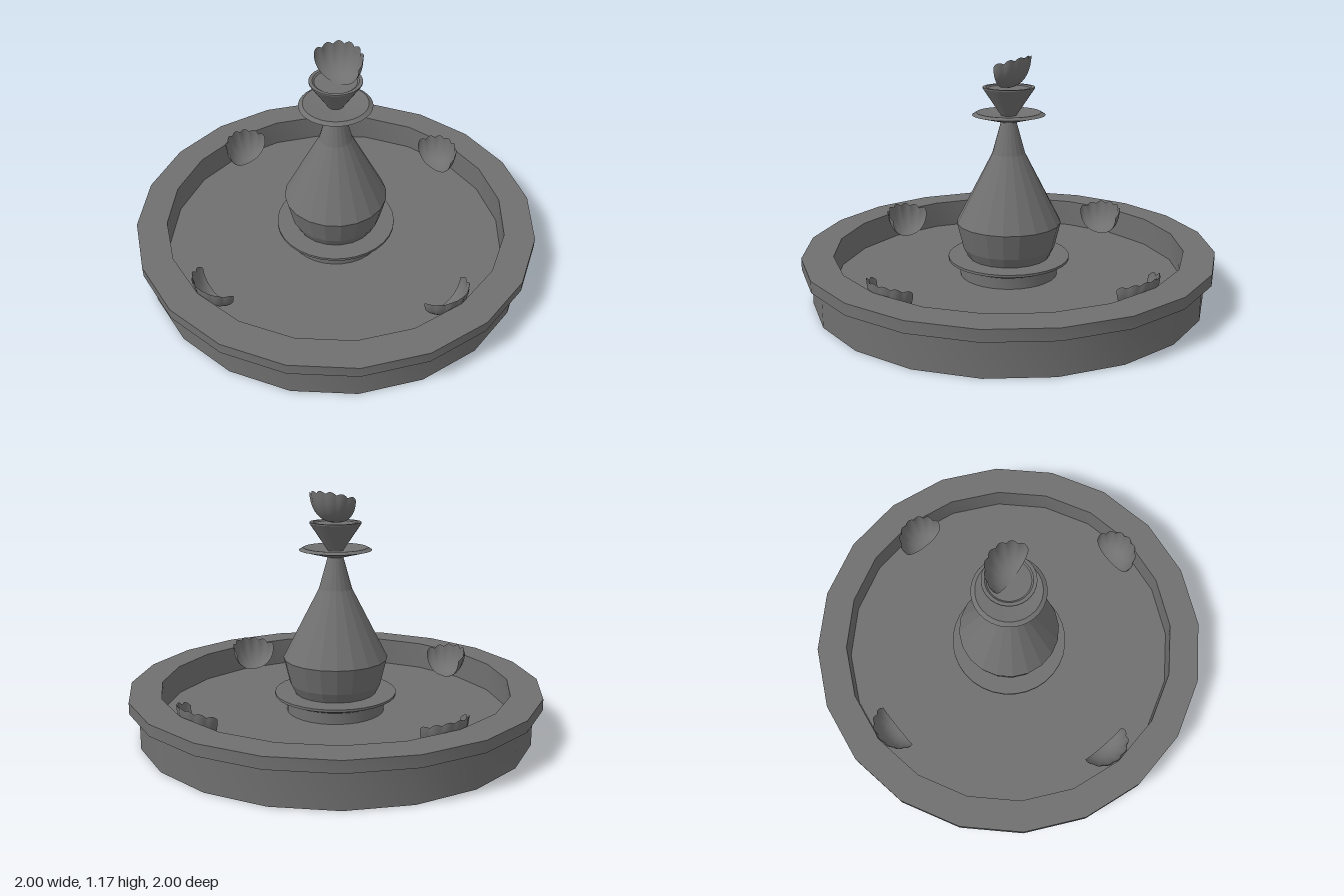
import * as THREE from 'three';
import { toCreasedNormals } from 'three/addons/utils/BufferGeometryUtils.js';

const stone = new THREE.MeshStandardMaterial({ color: 0x707070 });
const facetedStone = new THREE.MeshStandardMaterial({ color: 0x707070, flatShading: true });
const shellStone = new THREE.MeshStandardMaterial({ color: 0x707070, side: THREE.DoubleSide });

// Turned part: profile runs from the bottom axis up the outside
function turned(name, profile, sides, material = stone) {
  const points = profile.map(([r, y]) => new THREE.Vector2(r, y));
  const geometry = toCreasedNormals(new THREE.LatheGeometry(points, sides), 0.35);
  const mesh = new THREE.Mesh(geometry, material);
  mesh.name = name;
  return mesh;
}

// Scallop shell: ribbed half bowl, hinge at the origin, hollow side facing +z
function shellGeometry() {
  const ribs = 7, across = ribs * 6, up = 10;
  const positions = [], index = [];
  for (let j = 0; j <= up; j++) {
    const s = j / up, a = s * Math.PI / 2;
    for (let i = 0; i <= across; i++) {
      const u = i / across;
      const theta = (u - 0.5) * Math.PI;
      const rib = Math.abs(Math.sin(u * ribs * Math.PI));
      const r = 0.12 * Math.pow(Math.sin(a), 0.85) * (1 + 0.06 * s * (rib - 0.4));
      const height = 0.108 + 0.036 * Math.cos(theta) + 0.012 * rib * s;
      positions.push(r * Math.sin(theta) * 1.03, height * (1 - Math.cos(a)), -r * Math.cos(theta) * 0.94);
      if (i < across && j < up) {
        const p = j * (across + 1) + i, q = p + across + 1;
        index.push(p, q, p + 1, p + 1, q, q + 1);
      }
    }
  }
  const geometry = new THREE.BufferGeometry();
  geometry.setAttribute('position', new THREE.Float32BufferAttribute(positions, 3));
  geometry.setIndex(index);
  geometry.computeVertexNormals();
  return geometry;
}

export function createModel() {
  const group = new THREE.Group();

  // Basin with overhanging rim and sunken floor
  group.add(turned('basin', [
    [0, 0], [0.955, 0], [0.955, 0.175], [1, 0.175], [1, 0.23],
    [0.85, 0.23], [0.85, 0.09], [0, 0.09],
  ], 20));

  // Pedestal: low drum with a flared lip
  group.add(turned('pedestal', [
    [0.24, 0.085], [0.24, 0.145], [0.298, 0.17], [0.298, 0.182], [0, 0.182],
  ], 32));

  // Vase-shaped column
  group.add(turned('column', [
    [0.2, 0.18], [0.225, 0.23], [0.255, 0.355], [0.08, 0.695], [0.037, 0.85], [0.037, 0.88],
  ], 20, facetedStone));

  // Thin flared collar with a bevelled, shallow dished top
  group.add(turned('collar', [
    [0, 0.85], [0.045, 0.85], [0.175, 0.883], [0.155, 0.895], [0.04, 0.88], [0, 0.88],
  ], 32));

  // Conical cup with a nearly flat top
  group.add(turned('cup', [
    [0.03, 0.87], [0.124, 1.01], [0.124, 1.016], [0.108, 1.016], [0.1, 1.01], [0, 1.01],
  ], 32));

  // Shells: one on the cup, four leaning against the basin wall
  const geometry = shellGeometry();
  const addShell = (name, x, y, z, turn) => {
    const shell = new THREE.Mesh(geometry, shellStone);
    shell.name = name;
    shell.position.set(x, y, z);
    shell.rotation.y = turn;
    group.add(shell);
  };
  addShell('topShell', 0.01, 1.012, 0.008, 0.24);
  ['backShell', 'leftShell', 'frontShell', 'rightShell'].forEach((name, i) => {
    const angle = i * Math.PI / 2;
    addShell(name, 0.735 * Math.sin(angle), 0.117, -0.735 * Math.cos(angle), -angle);
  });

  return group;
}
